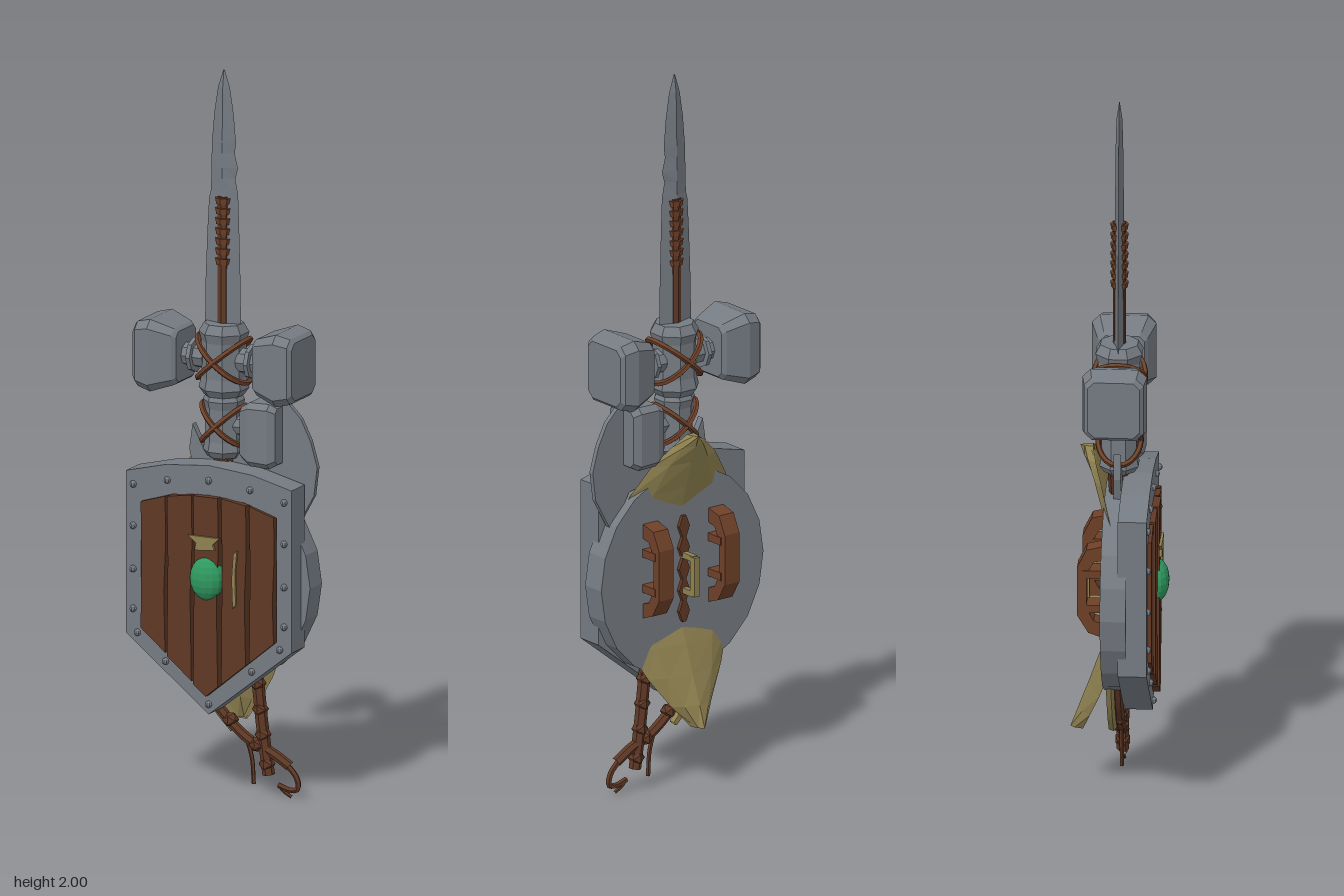
import * as THREE from 'three';

const mat = (name, color, side = THREE.FrontSide) => {
  const m = new THREE.MeshStandardMaterial({ color, flatShading: true, side });
  m.name = name;
  return m;
};

export function createModel() {
  const root = new THREE.Group();
  const steel = mat('steel', 0x757b82);
  const wood = mat('wood', 0x5f3825);
  const leather = mat('leather', 0x6e4028);
  const brass = mat('aged brass', 0x8f8150, THREE.DoubleSide);
  const gemGreen = mat('green gem', 0x2f9a60);

  const add = (name, geo, m, x = 0, y = 0, z = 0, parent = root) => {
    const mesh = new THREE.Mesh(geo, m);
    mesh.name = name;
    mesh.position.set(x, y, z);
    parent.add(mesh);
    return mesh;
  };
  const box = (w, h, d) => new THREE.BoxGeometry(w, h, d);
  const shapeOf = pts => new THREE.Shape(pts.map(p => new THREE.Vector2(p[0], p[1])));
  const plate = (pts, depth, holes = []) => {
    const s = shapeOf(pts);
    holes.forEach(h => s.holes.push(shapeOf(h)));
    return new THREE.ExtrudeGeometry(s, { depth, bevelEnabled: false });
  };
  const tube = (pts, r, sides = 6, seg = 24, closed = false) => new THREE.TubeGeometry(
    new THREE.CatmullRomCurve3(pts.map(p => new THREE.Vector3(...p)), closed), seg, r, sides, closed);

  // Skin a stack of equal-length closed rings, with end caps
  const loft = rings => {
    const n = rings[0].length, pos = rings.flat(2), idx = [];
    for (let i = 0; i < rings.length - 1; i++) for (let j = 0; j < n; j++) {
      const a = i * n + j, b = i * n + (j + 1) % n;
      idx.push(a, b, a + n, b, b + n, a + n);
    }
    const last = (rings.length - 1) * n;
    for (let j = 1; j < n - 1; j++) idx.push(0, j + 1, j, last, last + j, last + j + 1);
    const g = new THREE.BufferGeometry();
    g.setAttribute('position', new THREE.Float32BufferAttribute(pos, 3));
    g.setIndex(idx);
    g.computeVertexNormals();
    return g;
  };

  // Sword blade: diamond sections [y, left, right, half thickness]
  const blade = [[1.2, -0.058, 0.052, 0.016], [1.4, -0.056, 0.05, 0.015], [1.55, -0.05, 0.046, 0.014],
    [1.64, -0.045, 0.043, 0.013], [1.66, -0.04, 0.042, 0.012], [1.7, -0.038, 0.034, 0.012],
    [1.73, -0.038, 0.042, 0.012], [1.77, -0.037, 0.032, 0.011], [1.8, -0.036, 0.036, 0.011],
    [1.88, -0.029, 0.029, 0.01], [1.95, -0.018, 0.018, 0.008], [2, -0.002, 0.002, 0.001]];
  add('swordBlade', loft(blade.map(([y, l, r, t]) => [[l, y, 0], [0, y, t], [r, y, 0], [0, y, -t]])), steel);

  // Haft and wound grip over the blade
  add('haft', new THREE.CylinderGeometry(0.018, 0.018, 0.4, 8), wood, 0, 1.45, 0);
  for (let i = 0; i < 7; i++)
    add('gripRing', new THREE.CylinderGeometry(0.025, 0.022, 0.017, 8), leather, 0, 1.47 + i * 0.028, 0);

  // Octagonal core with crossed straps
  const core = (name, y, r, h) => {
    const prof = [[0, -h], [r * 0.75, -h], [r * 0.95, -h * 0.8], [r * 0.85, -h * 0.5], [r * 0.85, h * 0.5],
      [r * 0.95, h * 0.75], [r * 0.75, h], [0, h]].map(p => new THREE.Vector2(...p));
    const g = new THREE.LatheGeometry(prof, 8);
    g.rotateY(Math.PI / 8);
    add(name, g, steel, 0, y, 0);
    for (const s of [-1, 1]) {
      const pts = [];
      for (let i = 0; i < 12; i++) {
        const a = i / 12 * Math.PI * 2;
        pts.push([r * Math.cos(a), s * h * 0.6 * Math.cos(a), r * Math.sin(a) * 0.97]);
      }
      add('crossStrap', tube(pts, 0.008, 5, 24, true), leather, 0, y, 0);
    }
  };
  core('hammerCore', 1.2, 0.072, 0.1);
  core('smallHammerCore', 1.02, 0.06, 0.09);
  add('lowerHaft', new THREE.CylinderGeometry(0.03, 0.03, 0.3, 8), wood, 0, 0.84, 0);

  // Hammer heads: chamfered rectangle sections [x, half height, half depth]
  const head = secs => loft(secs.map(([x, h, d]) => {
    const c = Math.min(h, d) * 0.25;
    return [[h - c, d], [h, d - c], [h, c - d], [h - c, -d], [c - h, -d], [-h, c - d], [-h, d - c], [c - h, d]]
      .map(([y, z]) => [x, y, z]).reverse();
  }));
  for (const s of [-1, 1]) {
    const g = new THREE.Group();
    g.name = s > 0 ? 'leftHammerHead' : 'rightHammerHead';
    g.position.y = 1.2;
    g.rotation.y = s > 0 ? 0 : Math.PI;
    root.add(g);
    add('headBlock', head([[0.115, 0.07, 0.06], [0.125, 0.078, 0.068], [0.19, 0.1, 0.087], [0.23, 0.09, 0.08], [0.24, 0.08, 0.07]]), steel, 0, 0, 0, g);
    add('headNeck', new THREE.CylinderGeometry(0.03, 0.035, 0.08, 8).rotateZ(-Math.PI / 2), steel, 0.09, 0, 0, g);
    add('headCollar', new THREE.CylinderGeometry(0.048, 0.048, 0.012, 8).rotateZ(-Math.PI / 2), steel, 0.087, 0, 0, g);
  }
  add('smallHammerHead', head([[0.07, 0.07, 0.045], [0.1, 0.088, 0.06], [0.16, 0.09, 0.062], [0.18, 0.078, 0.05]]), steel, 0, 1.01, 0);
  add('smallHammerNeck', new THREE.CylinderGeometry(0.028, 0.028, 0.06, 8).rotateZ(Math.PI / 2), steel, 0.06, 1.02, 0);

  // Axe blades beside the core
  add('axeBlade', plate([[0.03, 0.98], [0.16, 0.98], [0.185, 1.11], [0.235, 1.06], [0.265, 1.0], [0.285, 0.93],
    [0.275, 0.85], [0.22, 0.75], [0.16, 0.85], [0.03, 0.88]], 0.014), steel, 0, 0, -0.007);
  add('axeSpike', plate([[0, 0.88], [0, 0.96], [-0.06, 0.95], [-0.09, 1.01], [-0.1, 0.94], [-0.08, 0.86]], 0.02), steel, 0, 0, -0.01);

  // Round shield
  add('roundShield', new THREE.CylinderGeometry(0.278, 0.278, 0.07, 20).rotateX(Math.PI / 2), steel, 0, 0.6, 0)
    .scale.y = 1.05;

  // Curved leaf-shaped shield ends: rows [y, half width, z]
  const leaf = (name, rows) => {
    const g = loft(rows.map(([y, w, z]) => [[-w, y, z + 0.035], [-w * 0.6, y, z + 0.012], [0, y, z], [w * 0.6, y, z + 0.012],
      [w, y, z + 0.035], [w * 0.6, y, z + 0.027], [0, y, z + 0.015], [-w * 0.6, y, z + 0.027]]));
    add(name, g, brass);
  };
  leaf('leafShieldTop', [[0.76, 0.19, -0.028], [0.84, 0.165, -0.05], [0.92, 0.11, -0.075], [0.97, 0.055, -0.095], [1.0, 0.012, -0.105]]);
  leaf('leafShieldBottom', [[0.18, 0.02, -0.132], [0.24, 0.07, -0.11], [0.32, 0.125, -0.08], [0.4, 0.165, -0.052], [0.46, 0.19, -0.028]]);

  // Rear arm straps, centre grip and splintered strip
  for (const x of [-0.115, 0.11]) {
    const arc = [[-0.02, 0.49], [-0.075, 0.51], [-0.105, 0.56], [-0.105, 0.7], [-0.08, 0.75], [-0.02, 0.765],
      [-0.02, 0.725], [-0.06, 0.715], [-0.08, 0.68], [-0.08, 0.58], [-0.06, 0.545], [-0.02, 0.53]];
    add('armStrap', plate(arc, 0.05).rotateY(-Math.PI / 2), leather, x + 0.025, 0, 0).geometry
      .applyMatrix4(new THREE.Matrix4().makeScale(1, 1, 1));
    for (const y of [0.58, 0.68]) add('strapBand', box(0.055, 0.022, 0.06), leather, x, y, -0.06);
  }
  const splinter = [];
  for (let i = 0; i <= 10; i++) splinter.push([0.006 + (i % 2 ? 0.012 : 0), 0.46 + i * 0.03]);
  add('splinteredStrip', plate([...splinter, ...splinter.map(([x, y]) => [-x, y]).reverse()], 0.012), wood, 0, 0, -0.045);
  add('rearGrip', box(0.018, 0.11, 0.02), brass, 0, 0.6, -0.09);
  for (const y of [0.55, 0.65]) add('rearGripPost', box(0.016, 0.016, 0.06), brass, 0, y, -0.06);

  // Front heater shield: backing and rim
  const outline = [[-0.25, 0.43], [0, 0.232], [0.25, 0.43], [0.25, 0.88], [0.13, 0.91], [0, 0.922], [-0.13, 0.91], [-0.25, 0.88]];
  const inner = [[-0.205, 0.455], [0, 0.285], [0.205, 0.455], [0.205, 0.8], [0.11, 0.83], [0, 0.84], [-0.11, 0.83], [-0.205, 0.8]];
  add('heaterBacking', plate(outline, 0.05), steel, 0, 0, 0.012);
  add('heaterRim', plate(outline, 0.028, [inner]), steel, 0, 0, 0.062);

  // Planks, stepping forward to the middle
  const lowY = x => 0.285 + Math.abs(x) * 0.83, highY = x => 0.84 - x * x * 0.95;
  for (let i = -2; i <= 2; i++) {
    const a = i * 0.082 - 0.037, b = i * 0.082 + 0.037;
    const pts = [[a, lowY(a)]];
    if (i === 0) pts.push([0, lowY(0)]);
    pts.push([b, lowY(b)], [b - 0.004, 0.56], [b + 0.002, 0.7], [b, highY(b)], [a, highY(a)], [a + 0.003, 0.65]);
    add('plank', plate(pts, 0.05 - Math.abs(i) * 0.005), wood, 0, 0, 0.06);
  }

  // Rim rivets
  const rivets = [[0, 0.26], [0, 0.88]];
  for (const s of [-1, 1]) rivets.push([s * 0.125, 0.868], [s * 0.228, 0.845], [s * 0.228, 0.73], [s * 0.228, 0.61],
    [s * 0.228, 0.5], [s * 0.215, 0.435], [s * 0.13, 0.365]);
  rivets.forEach(([x, y]) => add('rivet', new THREE.SphereGeometry(0.01, 8, 6), steel, x, y, 0.091));

  // Gem and brass fittings
  add('gem', new THREE.SphereGeometry(0.05, 14, 10), gemGreen, 0, 0.612, 0.1).scale.set(0.98, 1.22, 0.7);
  add('brassPlaque', plate([[-0.05, 0.73], [-0.025, 0.71], [-0.03, 0.69], [0.03, 0.695], [0.025, 0.71], [0.045, 0.73]], 0.008), brass, 0, 0, 0.109);
  add('brassSliver', plate([[0.083, 0.54], [0.092, 0.55], [0.09, 0.64], [0.096, 0.7], [0.085, 0.69], [0.08, 0.62]], 0.008), brass, 0, 0, 0.104);

  // Gnarled staff ends with curled tips
  add('straightStaff', tube([[-0.07, 0.95, -0.01], [0.05, 0.6, 0], [0.1, 0.33, 0], [0.115, 0.2, 0], [0.135, 0.06, 0]], 0.017), wood);
  add('crookedStaff', tube([[-0.1, 0.38, 0], [-0.03, 0.25, 0], [0.07, 0.155, 0], [0.15, 0.12, 0], [0.2, 0.09, 0]], 0.014), wood);
  add('curledTip', tube([[0.19, 0.095, 0], [0.22, 0.06, 0], [0.223, 0.03, 0], [0.2, 0.025, 0], [0.165, 0.035, 0]], 0.008, 5, 14), wood);
  add('curledThorn', tube([[0.165, 0.036, 0], [0.18, 0.02, 0], [0.205, 0.006, 0]], 0.005, 5, 6), wood);
  add('rootTwig', tube([[0.07, 0.15, 0], [0.085, 0.1, 0], [0.09, 0.03, 0]], 0.006, 5, 8), wood);
  add('brassStaff', tube([[-0.11, 0.36, -0.02], [-0.04, 0.235, -0.02], [0.02, 0.17, -0.02]], 0.012, 5, 10), brass);
  for (const [x, y] of [[0.103, 0.31], [0.11, 0.24], [0.118, 0.17], [0.13, 0.09], [0.02, 0.2], [0.1, 0.14]])
    add('staffKnot', new THREE.IcosahedronGeometry(0.023, 0), wood, x, y, 0);

  return root;
}
